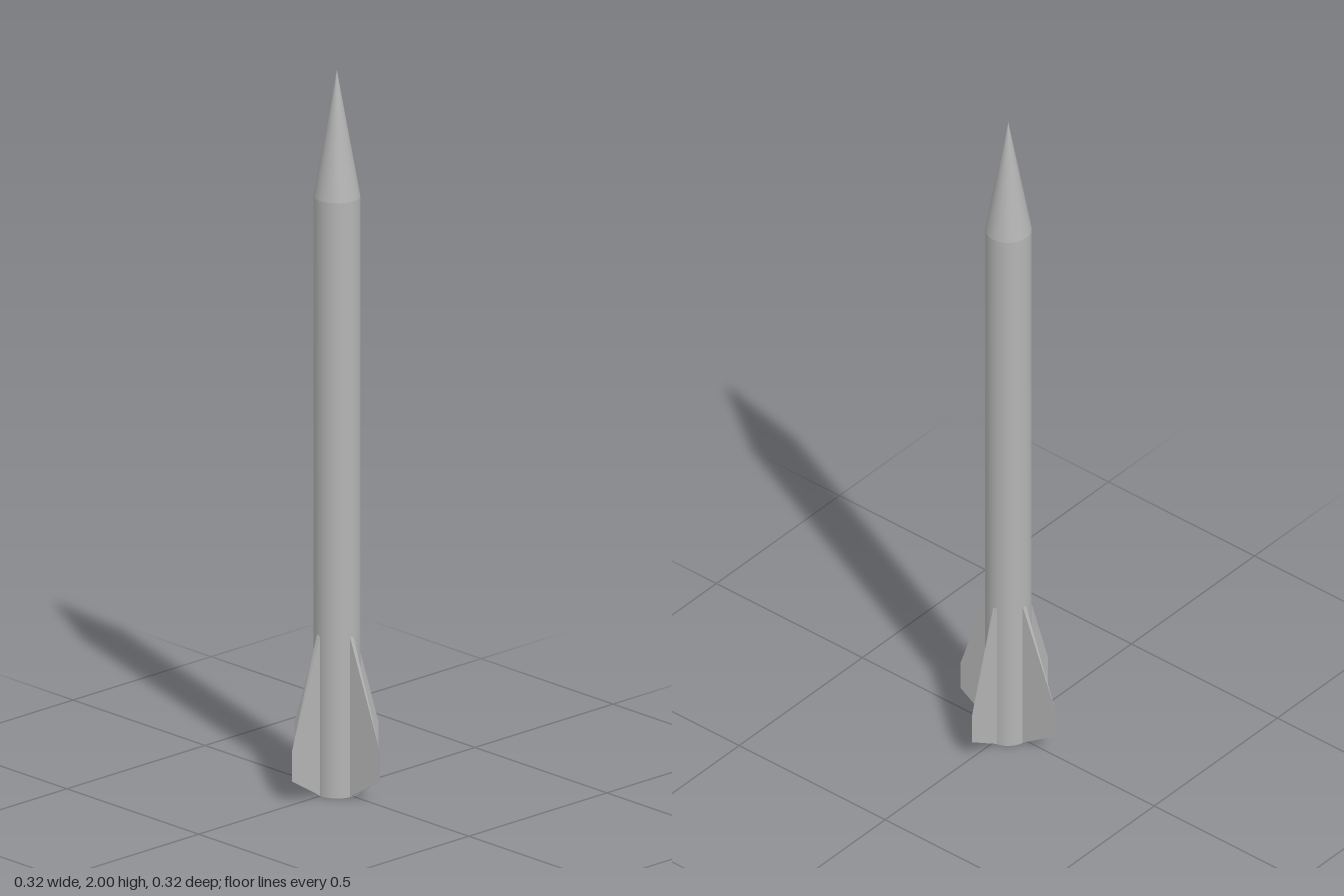
import * as THREE from 'three';

const RADIUS = 0.0615;
const SHOULDER = 1.65;

// Wedge fin: full thickness at the root, closing to a knife edge at the tip.
// flat = offset of the straight side, thick = offset of the tapered side at the root.
function finGeometry(flat, thick) {
  const root = 0.059, tip = 0.162;
  const outline = new THREE.Shape([
    new THREE.Vector2(root, 0),
    new THREE.Vector2(tip, 0.065),
    new THREE.Vector2(tip, 0.15),
    new THREE.Vector2(root, 0.45),
  ]);
  const geo = new THREE.ExtrudeGeometry(outline, { depth: 1, bevelEnabled: false });
  const p = geo.attributes.position;
  for (let i = 0; i < p.count; i++) {
    const atRoot = p.getX(i) < 0.1;
    p.setZ(i, atRoot && p.getZ(i) > 0.5 ? thick : flat);
  }
  geo.computeVertexNormals();
  return geo;
}

export function createModel() {
  const model = new THREE.Group();
  model.name = 'rocket';
  const grey = new THREE.MeshStandardMaterial({ color: 0xb4b4b4 });
  grey.name = 'light grey';

  const add = (name, geo) => {
    const mesh = new THREE.Mesh(geo, grey);
    mesh.name = name;
    model.add(mesh);
    return mesh;
  };

  // Body tube, closed at the bottom
  add('body', new THREE.CylinderGeometry(RADIUS, RADIUS, SHOULDER, 48)).position.y = SHOULDER / 2;

  // Pointed nose
  const noseHeight = 2 - SHOULDER;
  add('noseCone', new THREE.ConeGeometry(RADIUS, noseHeight, 48, 1, true)).position.y = SHOULDER + noseHeight / 2;

  // Four tail fins: name, turn, straight side, tapered side
  const fins = [
    ['leftFin', 0, -0.001, 0.011],
    ['rightFin', Math.PI, 0.001, 0.0125],
    ['frontFin', -Math.PI / 2, 0, 0.012],
    ['backFin', Math.PI / 2, -0.012, 0],
  ];
  for (const [name, turn, flat, thick] of fins) {
    add(name, finGeometry(flat, thick)).rotation.y = turn;
  }
  return model;
}
